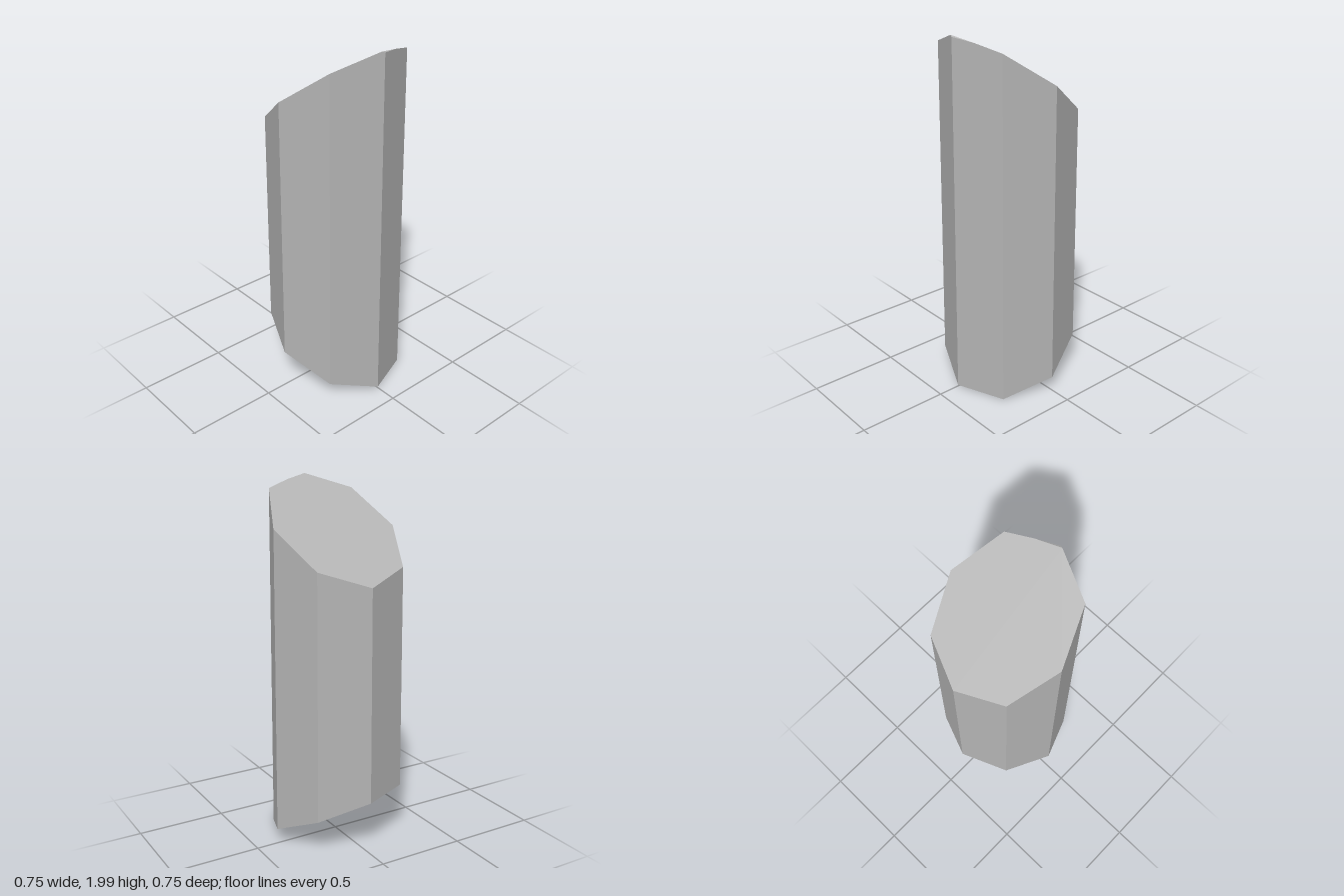
import * as THREE from 'three';

// Slanted cutting planes of the two ends
const topY = (x, z) => 1.745 + 0.715 * x - 0.04 * z;
const bottomY = (x, z) => 0.16 - 0.395 * x + 0.187 * z;

// Point on the slightly tapering octagonal wall; k counts corners, fractions lie on a side
function wallPoint(k, planeY) {
  const i = Math.floor(k), t = k - i;
  const corner = (n, r) => [r * Math.cos(n * Math.PI / 4), r * Math.sin(n * Math.PI / 4)];
  let y = planeY(0, 0), x, z;
  for (let pass = 0; pass < 4; pass++) {
    const r = 0.376 - 0.007 * y;
    const a = corner(i, r), b = corner(i + 1, r);
    x = a[0] + (b[0] - a[0]) * t;
    z = a[1] + (b[1] - a[1]) * t;
    y = planeY(x, z);
  }
  return new THREE.Vector3(x, y, z);
}

export function createModel() {
  const group = new THREE.Group();
  group.name = 'slantedOctagonalPost';
  const grey = new THREE.MeshStandardMaterial({ color: 0xb4b4b4 });
  grey.name = 'stone grey';

  // Eight corners, plus two points beside the tip where it is chipped
  const steps = [0, 0.058, 1, 2, 3, 4, 5, 6, 7, 7.54];
  const top = steps.map((k) => wallPoint(k, topY));
  const bottom = steps.map((k) => wallPoint(k, bottomY));
  top[0].y -= 0.012;

  const makeMesh = (name, triangles) => {
    const geometry = new THREE.BufferGeometry().setFromPoints(triangles);
    geometry.computeVertexNormals();
    const mesh = new THREE.Mesh(geometry, grey);
    mesh.name = name;
    group.add(mesh);
  };

  // Side walls
  const walls = [];
  steps.forEach((_, i) => {
    const j = (i + 1) % steps.length;
    walls.push(bottom[i], top[i], top[j], bottom[i], top[j], bottom[j]);
  });
  makeMesh('sideWalls', walls);

  // Slanted end faces
  const topFace = [], bottomFace = [];
  for (let i = 2; i < steps.length - 1; i++) topFace.push(top[1], top[i + 1], top[i]);
  for (let i = 1; i < steps.length - 1; i++) bottomFace.push(bottom[0], bottom[i], bottom[i + 1]);
  makeMesh('topFace', topFace);
  makeMesh('bottomFace', bottomFace);

  // Small chipped facet at the tip
  makeMesh('tipFacet', [top[0], top[9], top[1]]);
  return group;
}
